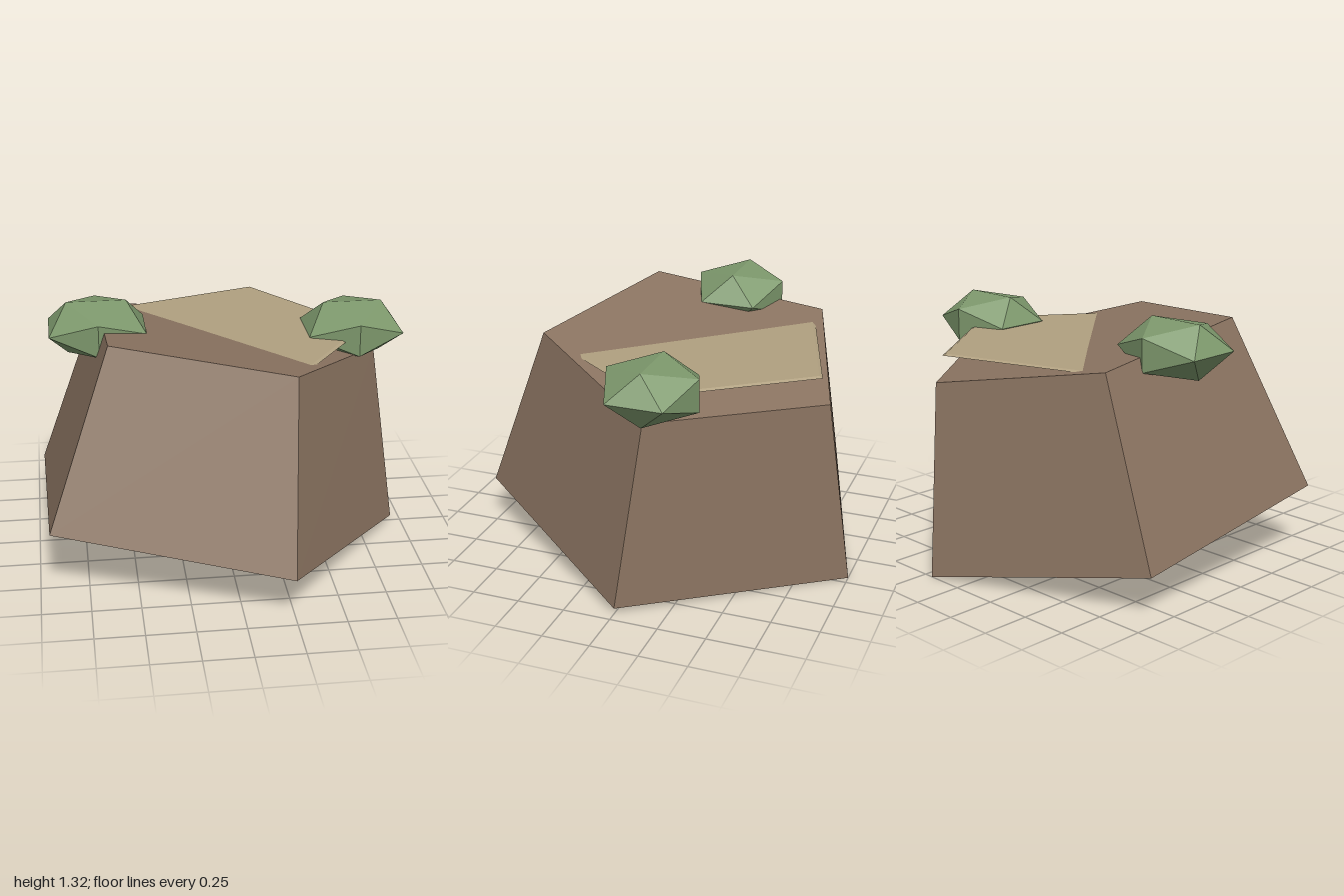
import * as THREE from 'three';

const flat = (name, color) => {
  const m = new THREE.MeshStandardMaterial({ color, flatShading: true });
  m.name = name;
  return m;
};

// Leaning five-sided boulder lofted between two rings (counter-clockwise from above)
function boulderGeometry() {
  const base = [[0.20, 0, -1], [-0.96, 0.22, -0.62], [-0.94, 0.37, 0.615], [0.24, 0.25, 1], [0.945, 0.03, 0]];
  const crown = [[0.265, 0.985, -0.88], [-0.63, 1.145, -0.59], [-0.61, 1.26, 0.355], [0.29, 1.17, 0.645], [0.83, 1, -0.115]];
  const pos = [];
  const tri = (...corners) => corners.forEach((p) => pos.push(...p));
  for (let i = 0; i < 5; i++) {
    const j = (i + 1) % 5;
    tri(base[i], base[j], crown[j]);
    tri(base[i], crown[j], crown[i]);
    if (i > 0 && i < 4) {
      tri(crown[0], crown[i], crown[j]);
      tri(base[0], base[j], base[i]);
    }
  }
  const geo = new THREE.BufferGeometry();
  geo.setAttribute('position', new THREE.Float32BufferAttribute(pos, 3));
  geo.computeVertexNormals();
  return geo;
}

export function createModel() {
  const rock = flat('brown rock', 0x8b7461);
  const sand = flat('pale sand', 0xb0a080);
  const leaf = flat('leaf green', 0x7d986c);

  const model = new THREE.Group();
  model.name = 'rockOutcrop';
  const add = (name, geometry, material, x = 0, y = 0, z = 0) => {
    const mesh = new THREE.Mesh(geometry, material);
    mesh.name = name;
    mesh.position.set(x, y, z);
    model.add(mesh);
    return mesh;
  };

  add('boulder', boulderGeometry(), rock);

  // Level slab, half sunk into the sloping crown
  add('sandPatch', new THREE.CylinderGeometry(0.735, 0.755, 0.008, 5, 1, false, Math.PI / 2), sand, 0.03, 1.12, -0.117);

  // Squashed bushes on both sides
  for (const [name, x, y] of [['rightBush', -0.645, 1.187], ['leftBush', 0.705, 1.128]]) {
    add(name, new THREE.IcosahedronGeometry(1, 0), leaf, x, y, -0.12).scale.set(0.294, 0.162, 0.278);
  }
  return model;
}
